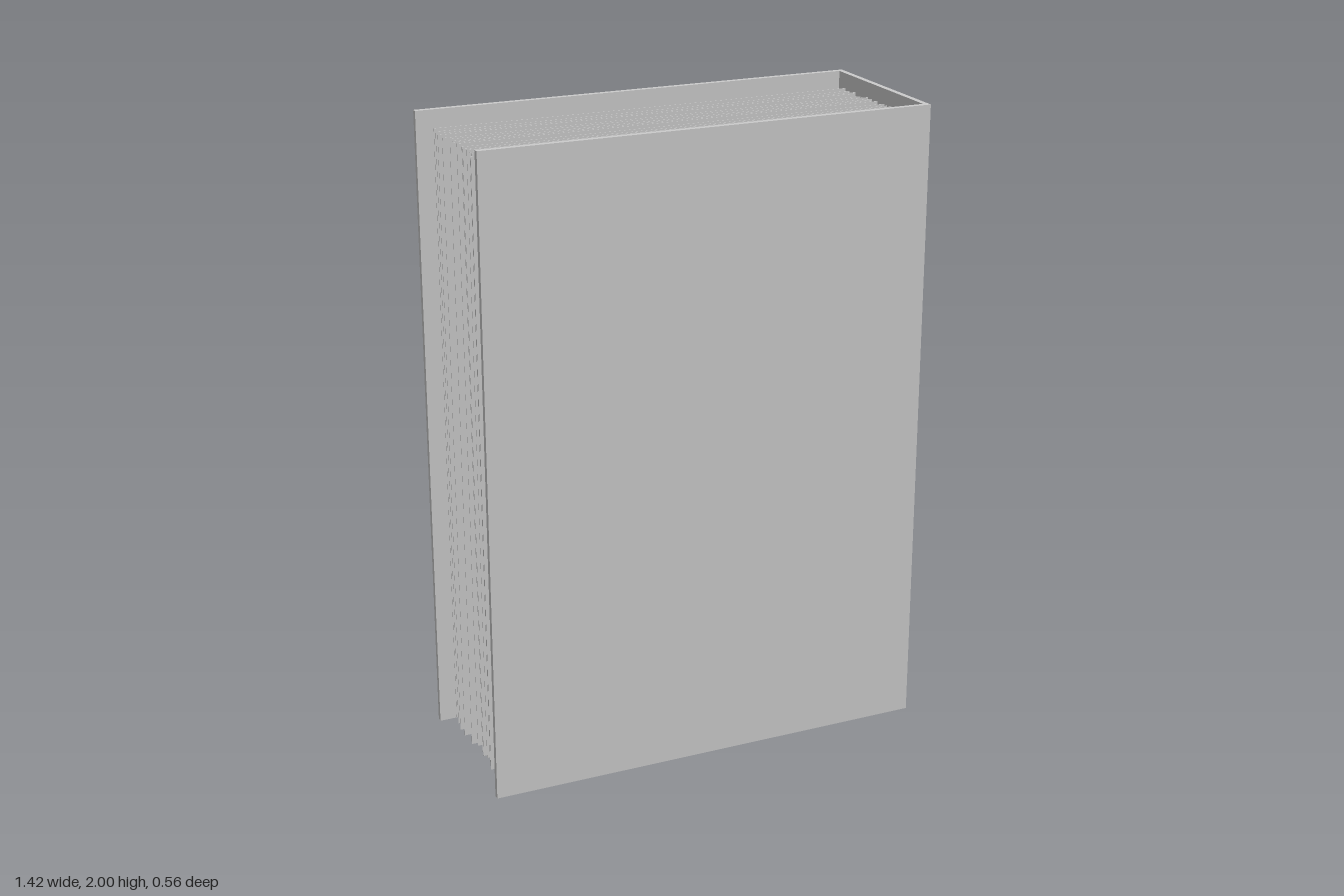
import * as THREE from 'three';
import { toCreasedNormals } from 'three/addons/utils/BufferGeometryUtils.js';

const HEIGHT = 2, HALF_DEPTH = 0.278, BOARD = 0.017;
const BACK_X = -0.711, SPINE_X = 0.705;
const HOLE_Y = 0.41, HOLE_R = 0.134;

export function createModel() {
  const model = new THREE.Group();
  const material = new THREE.MeshStandardMaterial({ color: 0xcccccc });

  function add(name, geometry, x = 0, y = 0, z = 0, parent = model) {
    const mesh = new THREE.Mesh(geometry, material);
    mesh.name = name;
    mesh.position.set(x, y, z);
    parent.add(mesh);
    return mesh;
  }

  // Two cover boards, butting against the spine
  const coverLength = SPINE_X - BOARD - BACK_X;
  for (const side of [1, -1]) {
    add(side > 0 ? 'frontCover' : 'backCover',
      new THREE.BoxGeometry(coverLength, HEIGHT, BOARD),
      BACK_X + coverLength / 2, HEIGHT / 2, side * (HALF_DEPTH - BOARD / 2));
  }

  // Spine board with a finger hole
  const outline = new THREE.Shape([
    new THREE.Vector2(-HALF_DEPTH, 0), new THREE.Vector2(HALF_DEPTH, 0),
    new THREE.Vector2(HALF_DEPTH, HEIGHT), new THREE.Vector2(-HALF_DEPTH, HEIGHT),
  ]);
  outline.holes.push(new THREE.Path().absarc(0, HOLE_Y, HOLE_R, 0, Math.PI * 2, true));
  const spine = new THREE.ExtrudeGeometry(outline, { depth: BOARD, bevelEnabled: false, curveSegments: 32 });
  spine.rotateY(Math.PI / 2);
  add('spine', spine, SPINE_X - BOARD);

  // Rim lining the hole, with a bevelled lip standing proud of the spine
  const profile = [
    [0.148, 0], [0.148, 0.003], [0.144, 0.006], [0.134, 0.006],
    [0.13, 0.003], [0.13, -BOARD], [HOLE_R, -BOARD],
  ].map(([r, h]) => new THREE.Vector2(r, h));
  const rim = toCreasedNormals(new THREE.LatheGeometry(profile, 64), 0.5);
  rim.rotateZ(-Math.PI / 2);
  add('fingerHoleRim', rim, SPINE_X, HOLE_Y, 0);

  // Loose sheets: depth position and centre offset along the covers
  const sheets = new THREE.Group();
  sheets.name = 'sheets';
  model.add(sheets);
  const sheetGeometry = new THREE.BoxGeometry(1.352, 1.92, 0.002);
  [
    [-0.192, -0.002], [-0.151, -0.01], [-0.127, -0.002], [-0.108, -0.018], [-0.067, -0.018],
    [-0.047, -0.002], [-0.021, -0.002], [-0.005, -0.016], [0.013, -0.002], [0.056, -0.002],
    [0.082, -0.008], [0.098, -0.002], [0.125, -0.002], [0.144, -0.003], [0.171, -0.016],
  ].forEach(([z, x]) => add('sheet', sheetGeometry, x, HEIGHT / 2, z, sheets));

  return model;
}
